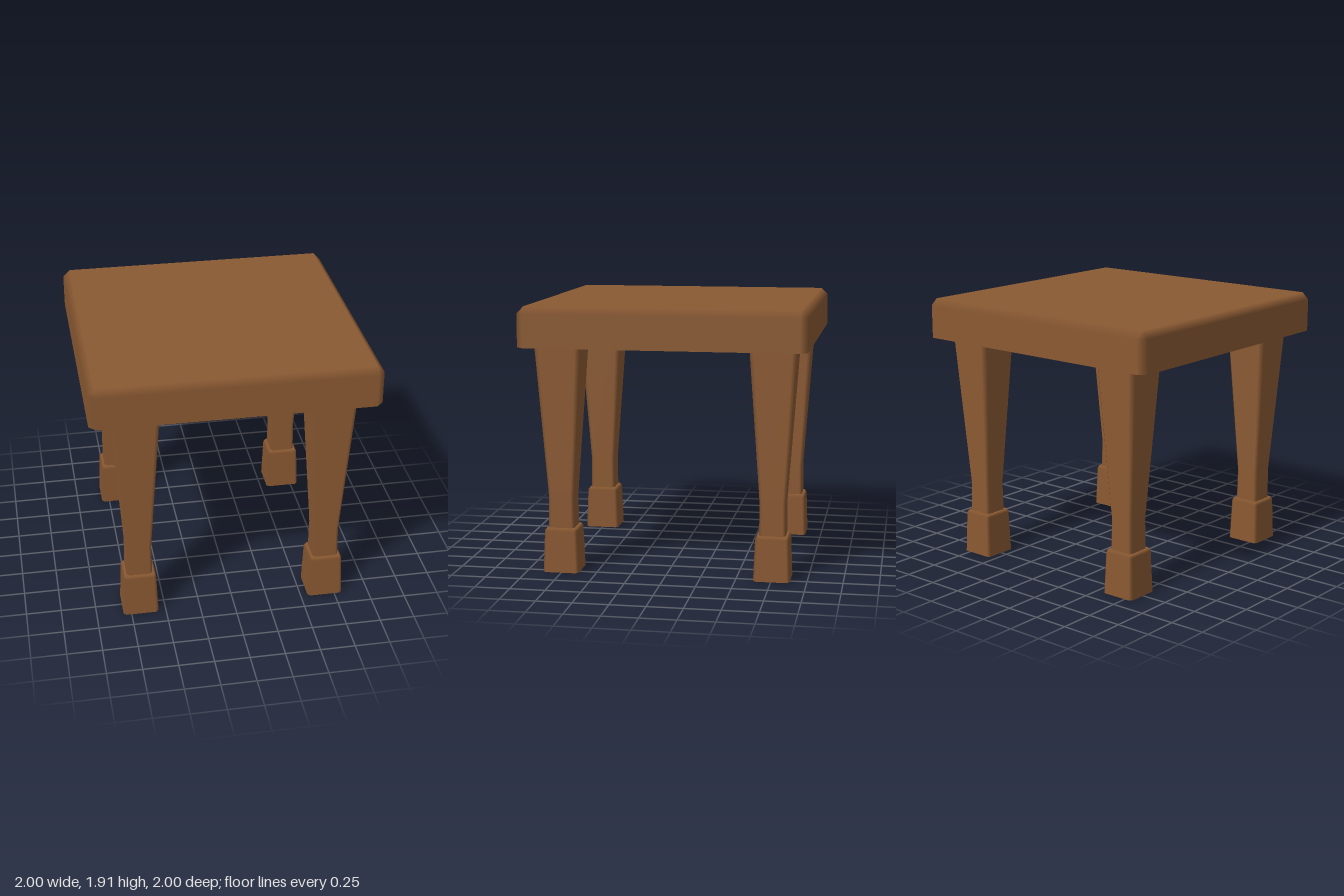
import * as THREE from 'three';

// Lofted block from chamfered-square rings [y, half width, corner chamfer, faces up].
// Normals follow the flat faces so the bevels shade as soft rounded edges.
function chamferedLoft(rings) {
  const pos = [], nor = [], idx = [];
  const addRing = ([y, h, c], normalY) => {
    const start = pos.length / 3;
    for (let side = 0; side < 4; side++) {
      const cos = Math.round(Math.cos(side * Math.PI / 2));
      const sin = Math.round(Math.sin(side * Math.PI / 2));
      for (const t of [-(h - c), h - c]) {
        pos.push(cos * h - sin * t, y, sin * h + cos * t);
        if (normalY) nor.push(0, normalY, 0);
        else nor.push(cos, 0, sin);
      }
    }
    return start;
  };

  // Side walls
  const starts = rings.map((r) => addRing(r, r[3] ? 1 : 0));
  for (let k = 0; k < starts.length - 1; k++) {
    for (let i = 0; i < 8; i++) {
      const j = (i + 1) % 8;
      const a = starts[k] + i, b = starts[k] + j;
      const a2 = starts[k + 1] + i, b2 = starts[k + 1] + j;
      idx.push(b, a, a2, b, a2, b2);
    }
  }

  // Flat end caps
  const bottom = addRing(rings[0], -1);
  const top = addRing(rings[rings.length - 1], 1);
  for (let i = 1; i < 7; i++) {
    idx.push(bottom, bottom + i, bottom + i + 1);
    idx.push(top, top + i + 1, top + i);
  }

  const geo = new THREE.BufferGeometry();
  geo.setAttribute('position', new THREE.Float32BufferAttribute(pos, 3));
  geo.setAttribute('normal', new THREE.Float32BufferAttribute(nor, 3));
  geo.setIndex(idx);
  return geo;
}

export function createModel() {
  const model = new THREE.Group();
  model.name = 'stool';
  const wood = new THREE.MeshStandardMaterial({ color: 0x8b5a33 });
  wood.name = 'brown wood';

  const add = (parent, name, geometry) => {
    const mesh = new THREE.Mesh(geometry, wood);
    mesh.name = name;
    parent.add(mesh);
  };

  // Thick seat with bevelled corners and top edge
  add(model, 'seat', chamferedLoft([
    [1.63, 1, 0.05],
    [1.863, 1, 0.05],
    [1.913, 0.95, 0, true],
  ]));

  // Tapered shaft and flared foot, shared by all legs
  const shaft = chamferedLoft([
    [0.31, 0.093, 0.02],
    [0.53, 0.09, 0.02],
    [0.57, 0.092, 0.02],
    [1.635, 0.163, 0.03],
  ]);
  const foot = chamferedLoft([
    [0, 0.128, 0.02],
    [0.3, 0.117, 0.018],
    [0.32, 0.102, 0.008, true],
  ]);

  for (const [zName, z] of [['front', 0.753], ['back', -0.753]]) {
    for (const [xName, x] of [['Left', 0.68], ['Right', -0.68]]) {
      const leg = new THREE.Group();
      leg.name = `${zName}${xName}Leg`;
      leg.position.set(x, 0, z);
      add(leg, 'shaft', shaft);
      add(leg, 'foot', foot);
      model.add(leg);
    }
  }
  return model;
}
